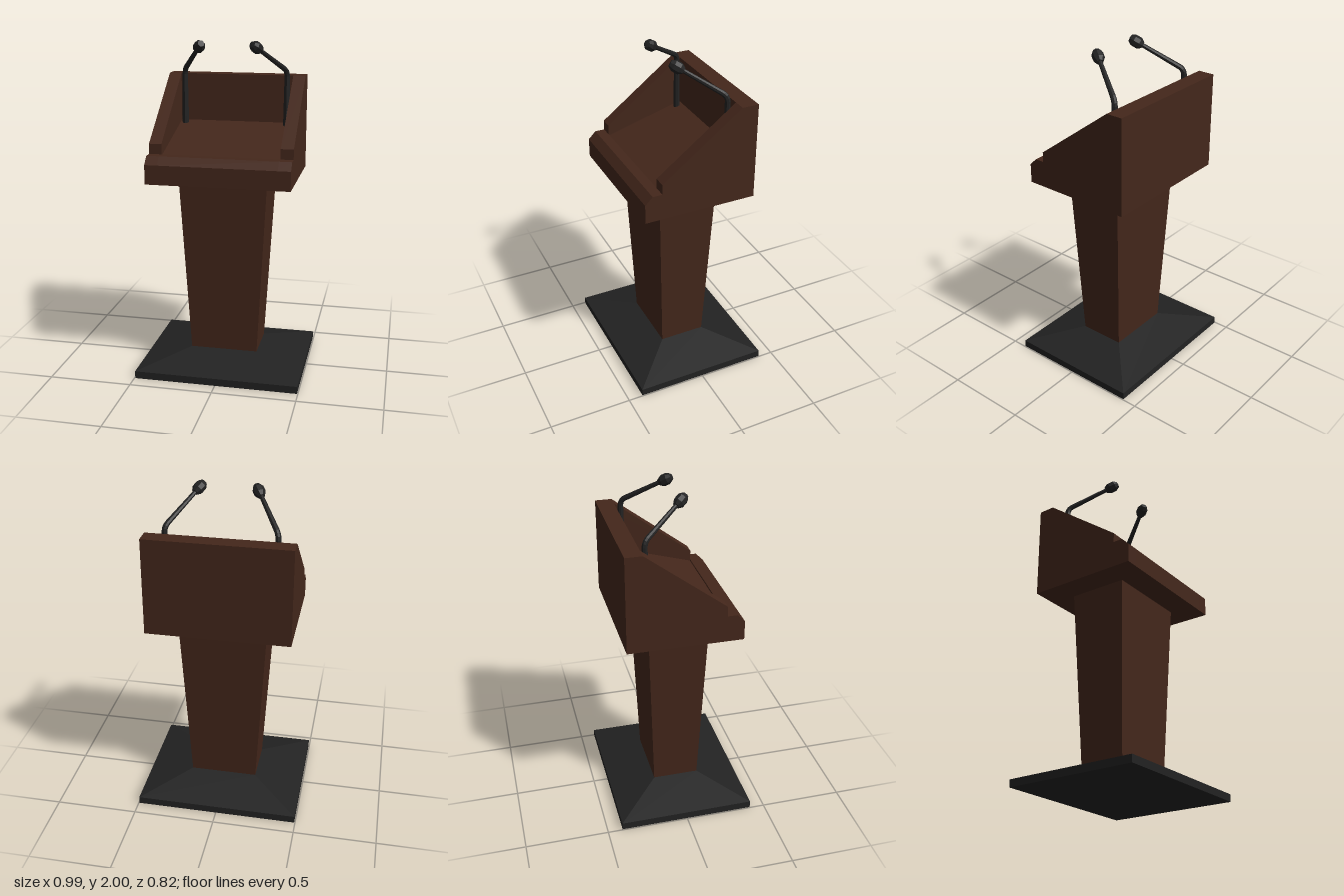
import * as THREE from 'three';

const wood = new THREE.MeshStandardMaterial({ color: 0x44271b, flatShading: true });
const black = new THREE.MeshStandardMaterial({ color: 0x222222, flatShading: true });

function addMesh(parent, name, geometry, material) {
  const mesh = new THREE.Mesh(geometry, material);
  mesh.name = name;
  parent.add(mesh);
  return mesh;
}

// Box between y0 and y1 whose top rectangle differs from its bottom one
function taperedBox(y0, y1, [w0, d0], [w1, d1]) {
  const g = new THREE.BoxGeometry(1, y1 - y0, 1).translate(0, (y0 + y1) / 2, 0);
  const p = g.attributes.position;
  for (let i = 0; i < p.count; i++) {
    const top = p.getY(i) > (y0 + y1) / 2;
    p.setX(i, p.getX(i) * (top ? w1 : w0));
    p.setZ(i, p.getZ(i) * (top ? d1 : d0));
  }
  g.computeVertexNormals();
  return g;
}

// Side profile of [z, y] points extruded along x, centred on x
function sidePanel(points, width, x) {
  const shape = new THREE.Shape(points.map(([z, y]) => new THREE.Vector2(-z, y)));
  return new THREE.ExtrudeGeometry(shape, { depth: width, bevelEnabled: false })
    .translate(0, 0, -width / 2).rotateY(Math.PI / 2).translate(x, 0, 0);
}

// Tube that narrows from r0 to r1 along its path
function taperedTube(curve, segments, sides, r0, r1) {
  const g = new THREE.TubeGeometry(curve, segments, r0, sides);
  const p = g.attributes.position, v = new THREE.Vector3();
  for (let i = 0; i <= segments; i++) {
    const centre = curve.getPointAt(i / segments);
    const k = THREE.MathUtils.lerp(1, r1 / r0, i / segments);
    for (let j = 0; j <= sides; j++) {
      const n = i * (sides + 1) + j;
      v.fromBufferAttribute(p, n).sub(centre).multiplyScalar(k).add(centre);
      p.setXYZ(n, v.x, v.y, v.z);
    }
  }
  return g;
}

function createMicrophone(side) {
  const mic = new THREE.Group();
  mic.name = side > 0 ? 'leftMicrophone' : 'rightMicrophone';
  const foot = new THREE.Vector3(side * 0.318, 1.47, -0.207);
  const elbow = new THREE.Vector3(side * 0.318, 1.81, -0.207);
  const tip = new THREE.Vector3(side * 0.17, 1.966, 0.03);
  const bendStart = elbow.clone().setY(1.775);
  const bendEnd = elbow.clone().lerp(tip, 0.1);

  // Upright stem, short bend and slanting arm
  const path = new THREE.CurvePath();
  path.add(new THREE.LineCurve3(foot, bendStart));
  path.add(new THREE.QuadraticBezierCurve3(bendStart, elbow, bendEnd));
  path.add(new THREE.LineCurve3(bendEnd, tip));
  addMesh(mic, 'gooseneck', taperedTube(path, 40, 8, 0.021, 0.012), black);

  // Faceted capsule head
  const profile = [[0, -0.044], [0.02, -0.042], [0.034, -0.018], [0.034, 0.018], [0.02, 0.042], [0, 0.044]];
  const head = addMesh(mic, 'microphoneHead',
    new THREE.LatheGeometry(profile.map(([r, y]) => new THREE.Vector2(r, y)), 8), black);
  head.position.copy(tip);
  head.quaternion.setFromUnitVectors(new THREE.Vector3(0, 1, 0), tip.clone().sub(elbow).normalize());
  return mic;
}

export function createModel() {
  const model = new THREE.Group();
  model.name = 'lectern';

  // Foot plate with sloped top
  addMesh(model, 'basePlate', taperedBox(0, 0.045, [0.99, 0.82], [0.99, 0.82]), black);
  addMesh(model, 'baseSlope', taperedBox(0.045, 0.12, [0.99, 0.82], [0.41, 0.28]), black);

  // Column widening upwards
  addMesh(model, 'column', taperedBox(0.12, 1.2, [0.41, 0.28], [0.53, 0.36]), wood);

  // Desk: recessed reading surface with front lip and back panel
  const front = [[-0.34, 1.2], [0.34, 1.2], [0.34, 1.315], [0.295, 1.36]];
  const middle = [...front, [0.237, 1.36], [0.235, 1.352], [-0.24, 1.49], [-0.24, 1.78], [-0.34, 1.78]];
  addMesh(model, 'desk', sidePanel(middle, 0.7, 0), wood);

  // Sloping side cheeks
  const cheek = [...front, [0.237, 1.36], [0.237, 1.42], [-0.24, 1.78], [-0.34, 1.78]];
  for (const side of [1, -1]) {
    addMesh(model, side > 0 ? 'leftCheek' : 'rightCheek', sidePanel(cheek, 0.075, side * 0.3875), wood);
    model.add(createMicrophone(side));
  }
  return model;
}
